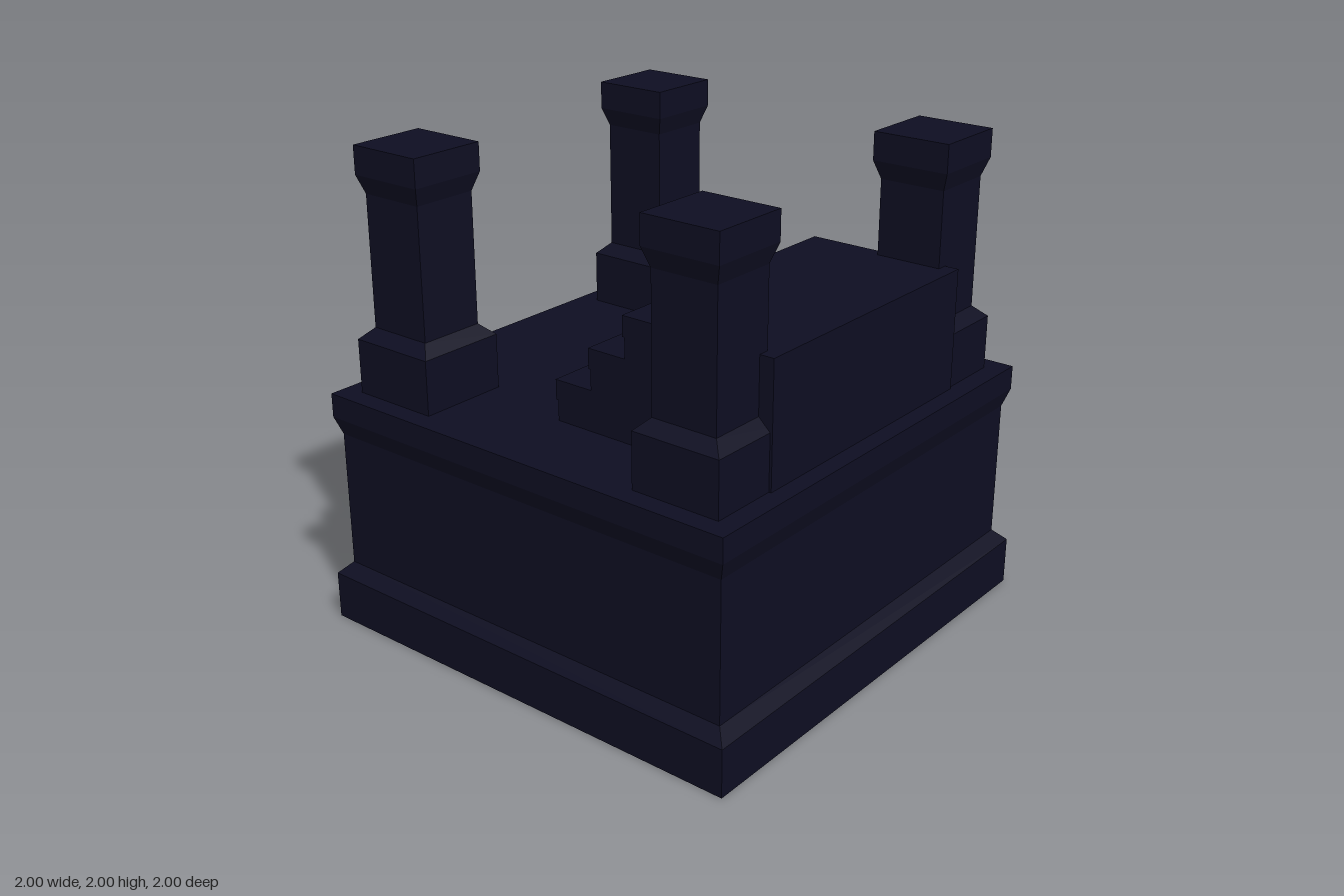
import * as THREE from 'three';

const darkNavy = new THREE.MeshStandardMaterial({ color: 0x0e0e22 });
darkNavy.name = 'darkNavy';

// Square moulded block from [halfWidth, y] pairs, closed top and bottom
function squareTurned(name, profile) {
  const first = profile[0], last = profile[profile.length - 1];
  const points = [[0, first[1]], ...profile, [0, last[1]]]
    .map(([half, y]) => new THREE.Vector2(half * Math.SQRT2, y));
  const geometry = new THREE.LatheGeometry(points, 4, Math.PI / 4).toNonIndexed();
  geometry.computeVertexNormals();
  const mesh = new THREE.Mesh(geometry, darkNavy);
  mesh.name = name;
  return mesh;
}

// Staircase: side profile in (z, y) with a lip on each tread, extruded along x
function makeSteps() {
  const bottom = 1, rise = 0.5 / 3, run = 0.167, lip = 0.01, lipHeight = 0.083;
  const shape = new THREE.Shape();
  shape.moveTo(0.9, bottom);
  shape.lineTo(0.9, bottom + 3 * rise);
  for (let i = 2; i >= 0; i--) {
    const riser = -0.097 + i * run;
    const top = bottom + (i + 1) * rise;
    shape.lineTo(riser - lip, top);
    shape.lineTo(riser - lip, top - lipHeight);
    shape.lineTo(riser, top - lipHeight);
    shape.lineTo(riser, bottom + i * rise);
  }
  const geometry = new THREE.ExtrudeGeometry(shape, { depth: 1.21, bevelEnabled: false });
  geometry.translate(0, 0, -0.605);
  geometry.rotateY(-Math.PI / 2);
  const mesh = new THREE.Mesh(geometry, darkNavy);
  mesh.name = 'steps';
  return mesh;
}

export function createModel() {
  const model = new THREE.Group();
  model.name = 'steppedPedestal';

  // Plinth with a chamfered foot and a flared cornice
  model.add(squareTurned('plinth', [
    [1, 0], [1, 0.2], [0.95, 0.25], [0.95, 0.825], [0.975, 0.9], [0.975, 1],
  ]));

  model.add(makeSteps());

  // Four corner pillars
  for (const x of [-1, 1]) {
    for (const z of [-1, 1]) {
      const pillar = squareTurned(`${z > 0 ? 'front' : 'back'}${x > 0 ? 'Left' : 'Right'}Pillar`, [
        [0.19, 1], [0.19, 1.225], [0.14, 1.272], [0.14, 1.81], [0.165, 1.885], [0.165, 2],
      ]);
      pillar.position.set(0.7 * x, 0, 0.7 * z);
      model.add(pillar);
    }
  }
  return model;
}
